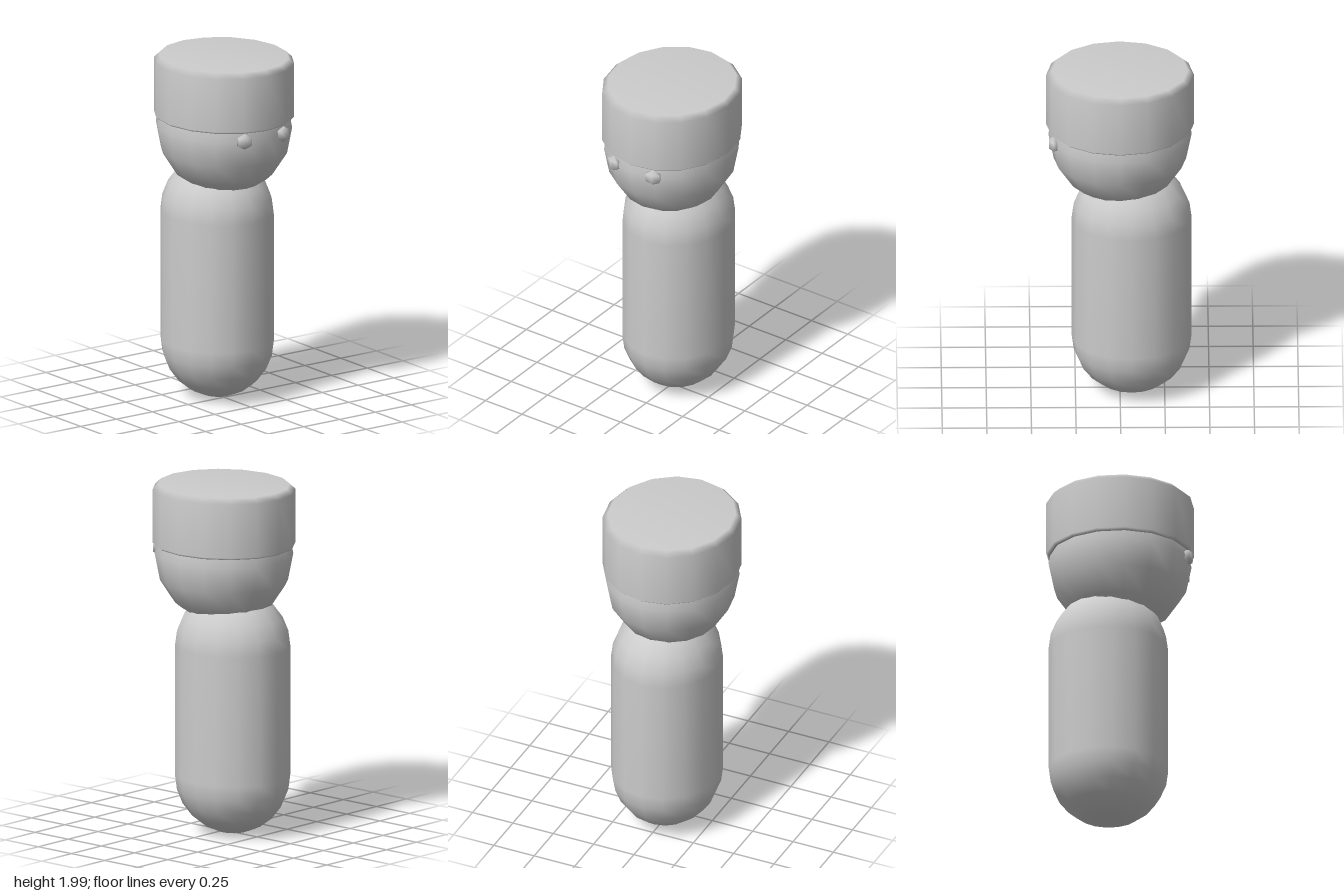
import * as THREE from 'three';

const SIDES = 16;

export function createModel() {
  const group = new THREE.Group();
  const material = new THREE.MeshStandardMaterial({ color: 0xcccccc });

  const add = (name, geometry) => {
    const mesh = new THREE.Mesh(geometry, material);
    mesh.name = name;
    group.add(mesh);
    return mesh;
  };

  // Unit-radius profile turned on the y axis, stretched to an oval plan
  const ovalLathe = (points, rx, rz) =>
    new THREE.LatheGeometry(points.map(([r, y]) => new THREE.Vector2(r, y)), SIDES).scale(rx, 1, rz);

  // Capsule body, set slightly behind the head
  const bodyProfile = [];
  const capHeight = 0.33, capSteps = 6;
  for (const [centre, start] of [[0.336, -Math.PI / 2], [1.08, 0]]) {
    for (let i = 0; i <= capSteps; i++) {
      const a = start + (i / capSteps) * Math.PI / 2;
      bodyProfile.push([Math.max(0, Math.cos(a)), centre + capHeight * Math.sin(a)]);
    }
  }
  add('body', ovalLathe(bodyProfile, 0.31, 0.336)).position.z = -0.065;

  // Oval head, its upper half inside the hat
  const head = add('head', new THREE.SphereGeometry(1, SIDES, SIDES / 2).scale(0.375, 0.398, 0.402));
  head.position.y = 1.6;

  // Flat hat with small bevels
  add('hat', ovalLathe([
    [0, 1.65], [0.965, 1.65], [1, 1.662], [1, 1.97], [0.92, 2], [0, 2],
  ], 0.385, 0.415));

  // Small faceted eyes
  for (const side of [-1, 1]) {
    const geometry = new THREE.SphereGeometry(1, 6, 3).rotateY(Math.PI / 6).scale(0.052, 0.046, 0.03);
    const eye = add(side > 0 ? 'leftEye' : 'rightEye', geometry);
    eye.position.set(side * 0.135, 1.603, 0.375);
    eye.rotation.y = side * 0.3;
  }

  return group;
}
